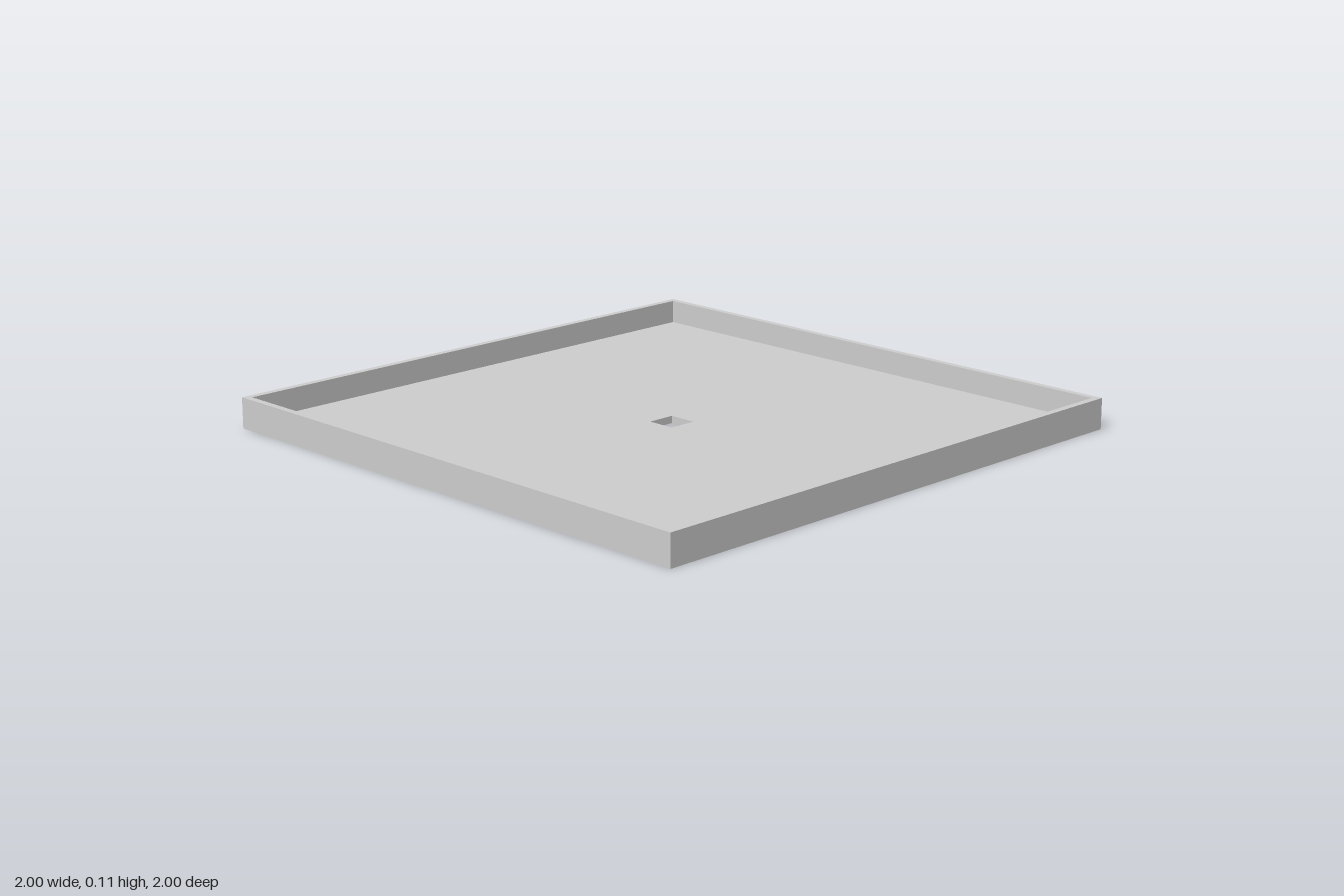
import * as THREE from 'three';

const HEIGHT = 0.107, FLOOR = 0.025, WALL = 0.024, HOLE = 0.1;

// Square plate with a centred square opening, lying flat between y and y + depth
function squareFrame(name, outer, inner, y, depth, material) {
  const trace = (path, s) => path.moveTo(-s, -s).lineTo(s, -s).lineTo(s, s).lineTo(-s, s).closePath();
  const shape = trace(new THREE.Shape(), outer / 2);
  shape.holes.push(trace(new THREE.Path(), inner / 2));
  const geometry = new THREE.ExtrudeGeometry(shape, { depth, bevelEnabled: false });
  geometry.rotateX(-Math.PI / 2).translate(0, y, 0);
  const mesh = new THREE.Mesh(geometry, material);
  mesh.name = name;
  return mesh;
}

export function createModel() {
  const group = new THREE.Group();
  group.name = 'tray';
  const material = new THREE.MeshStandardMaterial({ color: 0xcccccc });
  // Floor with the square drain hole, fitted inside the rim
  group.add(squareFrame('floor', 2 - 2 * WALL, HOLE, 0, FLOOR, material));
  // Thin upright rim, full height
  group.add(squareFrame('rim', 2, 2 - 2 * WALL, 0, HEIGHT, material));
  return group;
}
